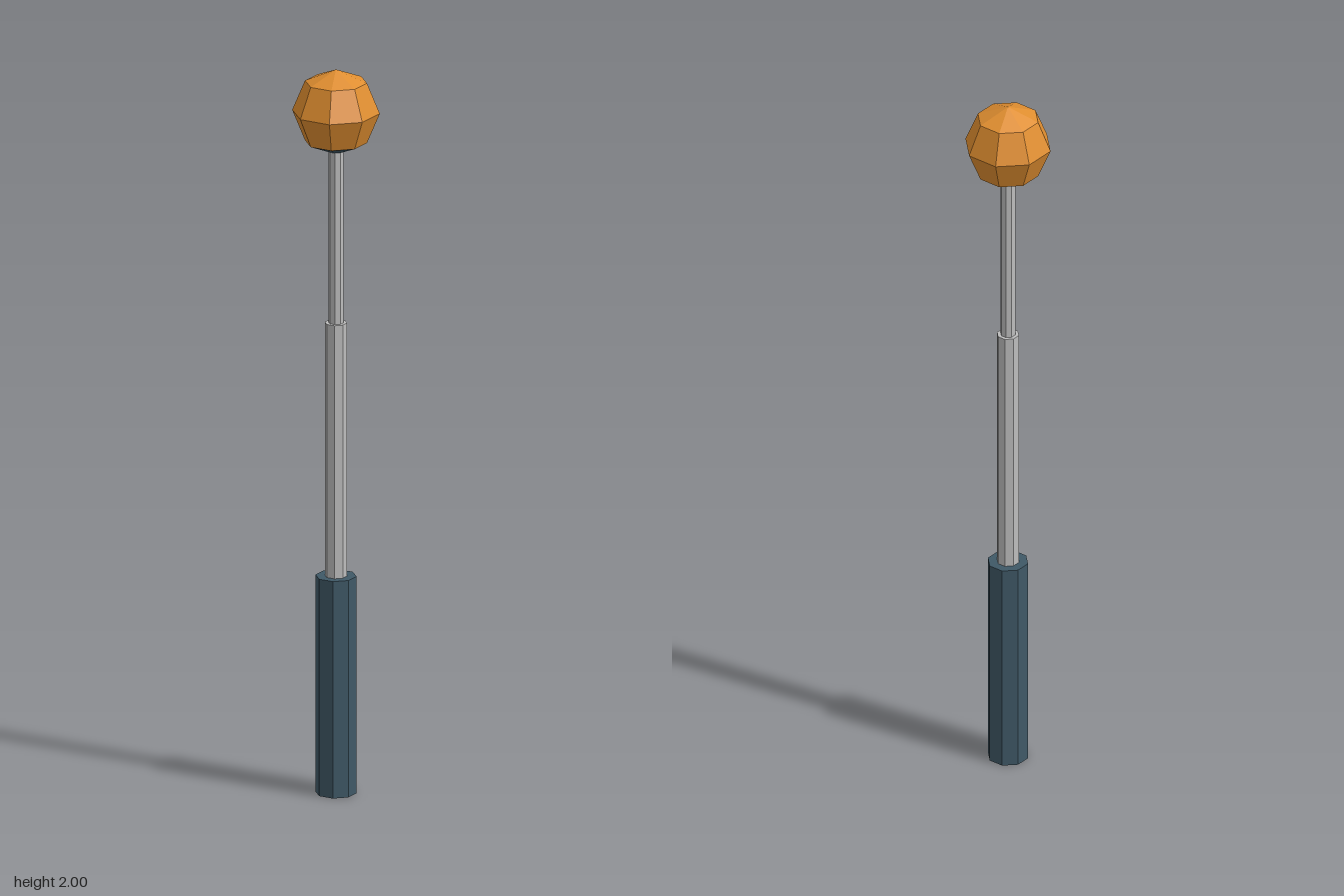
import * as THREE from 'three';

const SIDES = 8;

function material(name, color) {
  const m = new THREE.MeshStandardMaterial({ color });
  m.name = name;
  m.flatShading = true;
  return m;
}

export function createModel() {
  const model = new THREE.Group();
  model.name = 'telescopicWand';

  const slate = material('slate grip', 0x3f5866);
  const steel = material('steel', 0xbdbdbd);
  const orange = material('orange', 0xe08e30);

  const add = (name, geometry, mat, y) => {
    const mesh = new THREE.Mesh(geometry, mat);
    mesh.name = name;
    mesh.position.y = y;
    model.add(mesh);
  };

  // Stacked eight-sided sections: grip, then the two telescoping tubes
  const sections = [
    ['handle', 0.055, 0, 0.6, slate],
    ['lowerTube', 0.03, 0.6, 1.3, steel],
    ['upperTube', 0.02, 1.3, 1.78, steel],
  ];
  for (const [name, radius, bottom, top, mat] of sections) {
    const height = top - bottom;
    add(name, new THREE.CylinderGeometry(radius, radius, height, SIDES), mat, bottom + height / 2);
  }

  // Faceted ball: three orange rows above a dark bottom row
  const radius = 0.117;
  const centre = 2 - radius;
  const split = Math.PI * 0.75;
  add('ball', new THREE.SphereGeometry(radius, SIDES, 3, 0, Math.PI * 2, 0, split), orange, centre);
  add('ballBase', new THREE.SphereGeometry(radius, SIDES, 1, 0, Math.PI * 2, split, Math.PI - split), slate, centre);
  // A single sphere row only has triangles when it reaches the pole, so close it with a plain cone
  model.remove(model.children.pop());
  const baseRadius = radius * Math.SQRT1_2;
  const baseHeight = radius - baseRadius;
  add('ballBase', new THREE.CylinderGeometry(baseRadius, 0, baseHeight, SIDES, 1, true),
    slate, centre - baseRadius - baseHeight / 2);

  return model;
}
